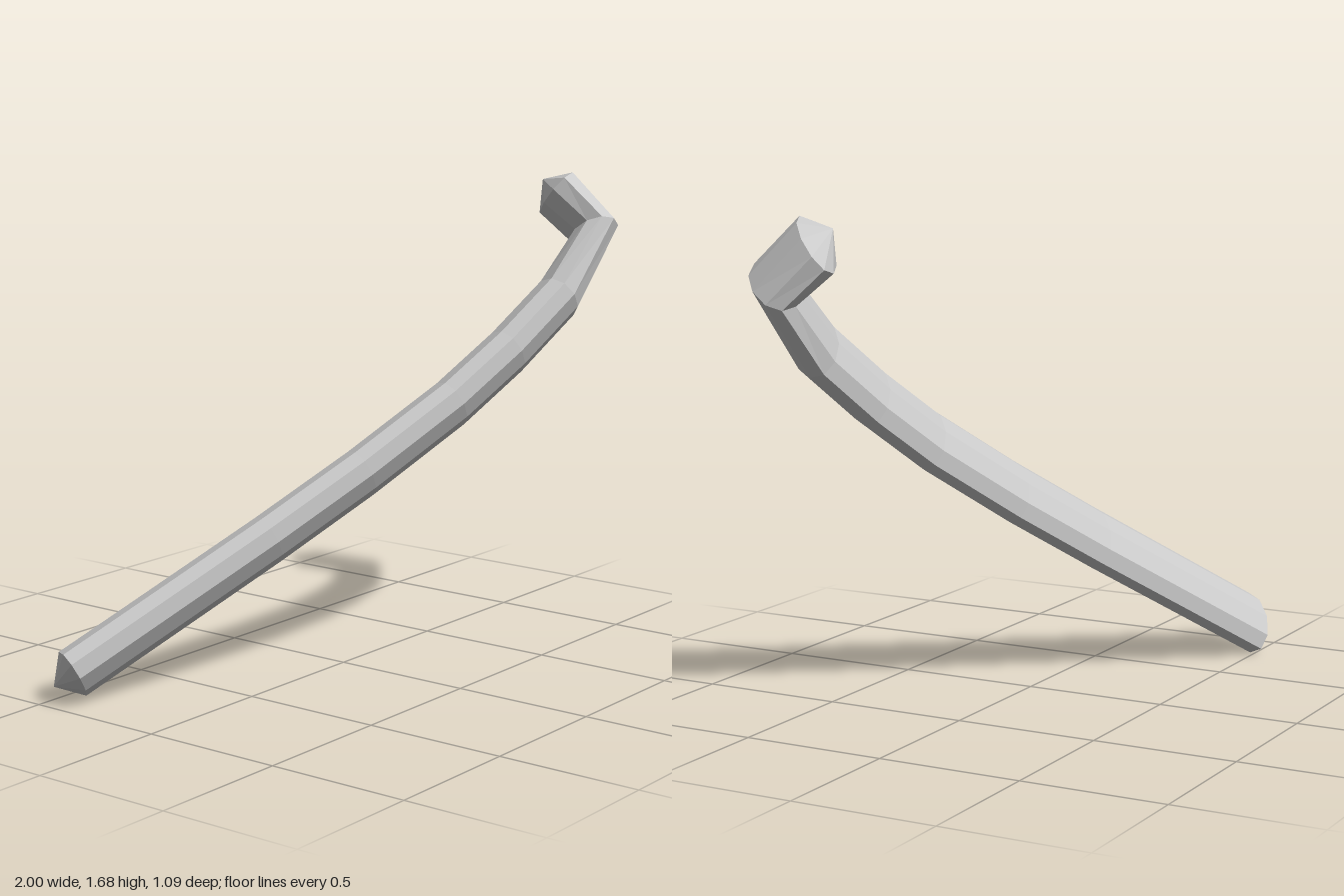
import * as THREE from 'three';

const SIDES = 10;
const HALF_WIDTH = 0.15;
const HALF_THICK = 0.083;
const TIP = 0.075;

// Centre line of the bar, from the lower end to the hooked upper end
const PATH = [
  [-0.9, 0.09, -0.44], [-0.3, 0.485, -0.09], [0, 0.685, 0.075], [0.305, 0.9, 0.233],
  [0.51, 1.065, 0.328], [0.71, 1.24, 0.405], [0.895, 1.46, 0.437], [0.857, 1.59, 0.303],
].map((p) => new THREE.Vector3(...p));

// The bar bends in one plane; its wide axis is that plane's normal
const WIDE = new THREE.Vector3(-0.645, 0.47, 0.605).normalize();

// Elliptical cross-section
function ring(centre, tangent) {
  const thin = tangent.clone().cross(WIDE).normalize();
  return Array.from({ length: SIDES }, (_, i) => {
    const a = (i / SIDES) * Math.PI * 2;
    return centre.clone()
      .addScaledVector(WIDE, HALF_WIDTH * Math.cos(a))
      .addScaledVector(thin, HALF_THICK * Math.sin(a));
  });
}

function barGeometry() {
  const last = PATH.length - 1;
  const dirs = PATH.slice(1).map((p, i) => p.clone().sub(PATH[i]).normalize());
  const rings = PATH.map((p, i) => {
    const t = dirs[Math.max(i - 1, 0)].clone().add(dirs[Math.min(i, last - 1)]).normalize();
    return ring(p, t);
  });
  const startTip = PATH[0].clone().addScaledVector(dirs[0], -TIP);
  const endTip = PATH[last].clone().addScaledVector(dirs[last - 1], TIP);

  const pos = [];
  const tri = (...v) => v.forEach((p) => pos.push(p.x, p.y, p.z));
  for (let j = 0; j < SIDES; j++) {
    const k = (j + 1) % SIDES;
    // Side strips
    for (let i = 0; i < last; i++) {
      const r = rings[i], s = rings[i + 1];
      tri(r[j], r[k], s[k]);
      tri(r[j], s[k], s[j]);
    }
    // Shallow pointed ends
    tri(startTip, rings[0][k], rings[0][j]);
    tri(endTip, rings[last][j], rings[last][k]);
  }
  const g = new THREE.BufferGeometry();
  g.setAttribute('position', new THREE.Float32BufferAttribute(pos, 3));
  g.computeVertexNormals();
  return g;
}

export function createModel() {
  const group = new THREE.Group();
  group.name = 'curvedBar';
  const bar = new THREE.Mesh(
    barGeometry(),
    new THREE.MeshStandardMaterial({ color: 0xcccccc, flatShading: true }),
  );
  bar.name = 'hookedBar';
  group.add(bar);
  return group;
}
